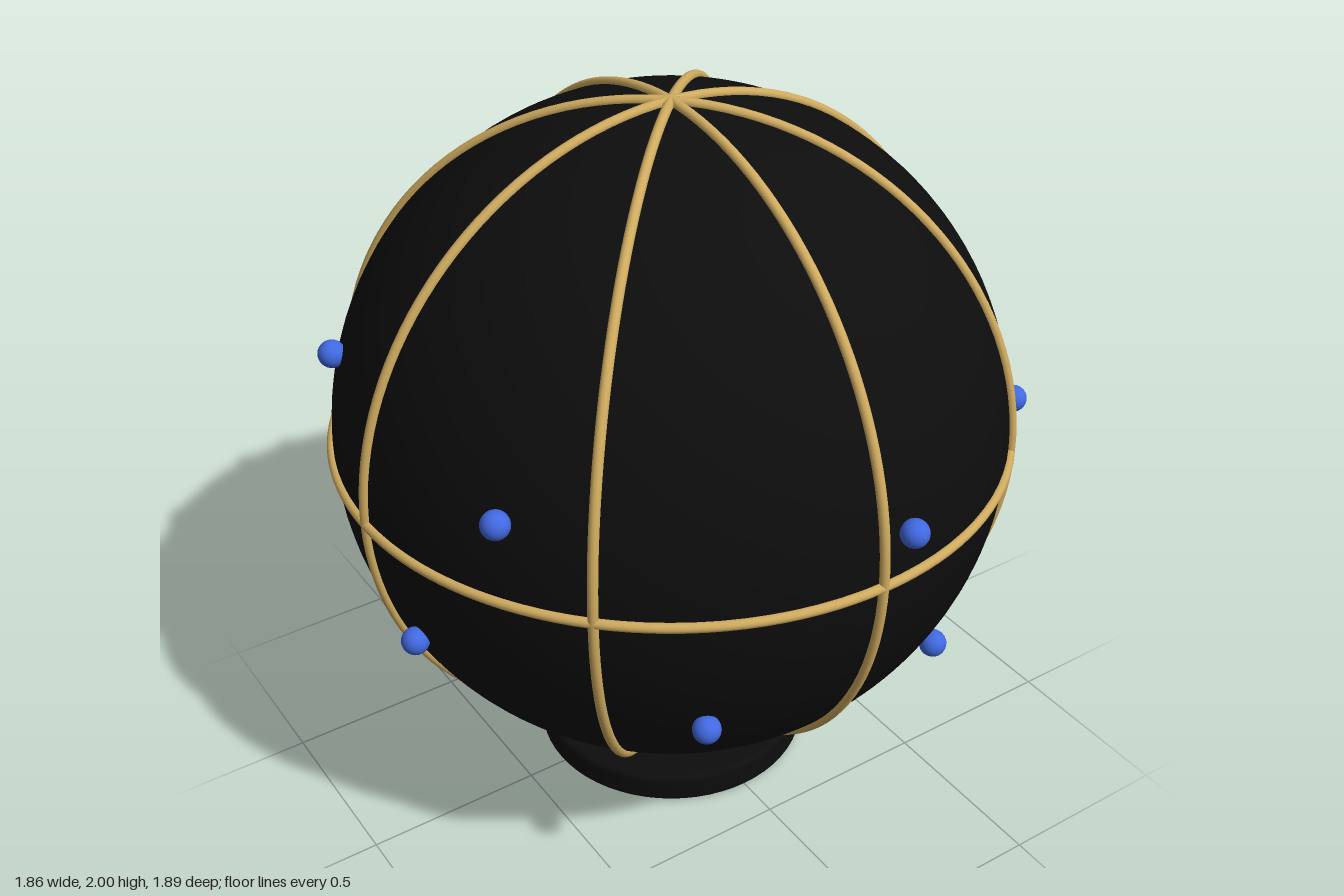
import * as THREE from 'three';

const CENTRE = new THREE.Vector3(0, 1.069, -0.01);
const RADIUS = 0.914;
const RING = 0.918;
const TUBE = 0.0135;

export function createModel() {
  const black = new THREE.MeshStandardMaterial({ name: 'black', color: 0x0d0d0d });
  const gold = new THREE.MeshStandardMaterial({ name: 'gold', color: 0xcfab5f });
  const blue = new THREE.MeshStandardMaterial({ name: 'blue', color: 0x4169e1 });

  const model = new THREE.Group();
  model.name = 'globe';

  const add = (parent, name, geometry, material) => {
    const mesh = new THREE.Mesh(geometry, material);
    mesh.name = name;
    parent.add(mesh);
    return mesh;
  };

  // Ball and everything fixed to it
  const globe = new THREE.Group();
  globe.name = 'ball';
  globe.position.copy(CENTRE);
  model.add(globe);
  add(globe, 'sphere', new THREE.SphereGeometry(RADIUS, 96, 64), black);

  // Four full vertical rings and the equator
  const ringGeometry = new THREE.TorusGeometry(RING, TUBE, 12, 128);
  for (let i = 0; i < 4; i++) {
    add(globe, 'meridianRing', ringGeometry, gold).rotation.y = (i * Math.PI) / 4;
  }
  add(globe, 'equatorRing', ringGeometry, gold).rotation.x = Math.PI / 2;

  // Small markers sitting on the surface, as offsets from the ball centre
  const markers = [
    [0.08, 0.13, 0.924], [0.785, 0.046, 0.505], [-0.4, -0.37, 0.76],
    [0.345, -0.449, 0.745], [0.76, -0.52, 0.17], [0.77, -0.53, 0.005],
    [-0.787, 0.22, 0.455], [-0.88, -0.3, 0.14], [0.495, 0.46, -0.645],
    [0.88, -0.04, -0.32], [0.275, -0.122, -0.885], [-0.22, 0.37, -0.832],
    [-0.82, 0.295, -0.345], [-0.672, -0.224, -0.612],
  ];
  const markerGeometry = new THREE.SphereGeometry(0.037, 20, 14);
  for (const m of markers) {
    add(globe, 'marker', markerGeometry, blue)
      .position.set(...m).setLength(0.936);
  }

  // Round base with softened edges
  const R = 0.392, H = 0.09, b = 0.018;
  const profile = [new THREE.Vector2(0, 0)];
  for (let i = 0; i <= 5; i++) {
    const a = (i / 5 - 1) * Math.PI / 2;
    profile.push(new THREE.Vector2(R - b + b * Math.cos(a), b + b * Math.sin(a)));
  }
  for (let i = 0; i <= 5; i++) {
    const a = (i / 5) * Math.PI / 2;
    profile.push(new THREE.Vector2(R - b + b * Math.cos(a), H - b + b * Math.sin(a)));
  }
  profile.push(new THREE.Vector2(0, H));
  add(model, 'base', new THREE.LatheGeometry(profile, 64), black).position.z = CENTRE.z;

  return model;
}
